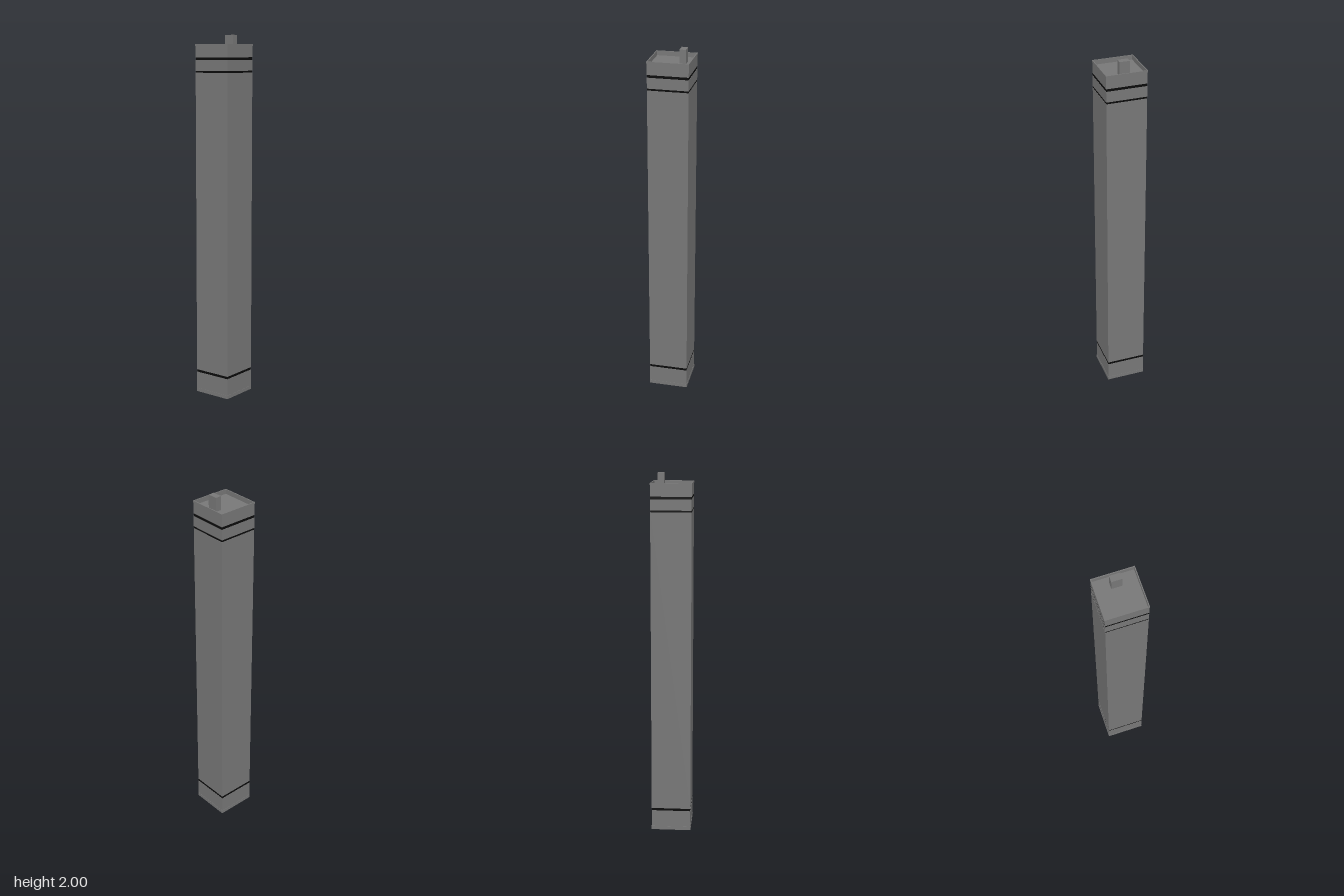
import * as THREE from 'three';

const grey = new THREE.MeshStandardMaterial({ color: 0x777777, side: THREE.DoubleSide });
const black = new THREE.MeshStandardMaterial({ color: 0x0a0a0a, side: THREE.DoubleSide });

const INNER = 0.106; // half width of the hollow inside

function squarePath(PathType, half) {
  return new PathType([[-1, -1], [1, -1], [1, 1], [-1, 1]].map(([x, y]) => new THREE.Vector2(x * half, y * half)));
}

// Hollow square tube from y0 to y1
function squareTube(name, half, y0, y1, material) {
  const shape = squarePath(THREE.Shape, half);
  shape.holes.push(squarePath(THREE.Path, INNER));
  const geometry = new THREE.ExtrudeGeometry(shape, { depth: y1 - y0, bevelEnabled: false });
  geometry.rotateX(-Math.PI / 2).translate(0, y0, 0);
  const mesh = new THREE.Mesh(geometry, material);
  mesh.name = name;
  return mesh;
}

function box(name, w, h, d, x, y, z) {
  const mesh = new THREE.Mesh(new THREE.BoxGeometry(w, h, d), grey);
  mesh.position.set(x, y, z);
  mesh.name = name;
  return mesh;
}

export function createModel() {
  const model = new THREE.Group();
  model.name = 'squareColumn';

  // Wall sections, open at the bottom, with dark strips between them
  const strips = [[0.115, 0.129], [1.798, 1.808], [1.866, 1.88]];
  const names = ['baseWall', 'shaftWall', 'collarWall', 'headWall'];
  let y = 0.02;
  strips.forEach(([y0, y1], i) => {
    model.add(squareTube(names[i], 0.1095, y, y0, grey));
    model.add(squareTube('darkStrip' + (i + 1), 0.1085, y0, y1, black));
    y = y1;
  });
  model.add(squareTube(names[3], 0.1095, y, 1.94, grey));

  // Slightly proud edges at foot and head
  model.add(squareTube('footRim', 0.111, 0, 0.02, grey));
  model.add(squareTube('topRim', 0.111, 1.94, 1.95, grey));

  // Recessed lid and the small post standing on it
  model.add(box('recessedLid', INNER * 2, 0.006, INNER * 2, 0, 1.922, 0));
  model.add(box('topPost', 0.034, 0.076, 0.055, 0.06, 1.962, 0));

  return model;
}
